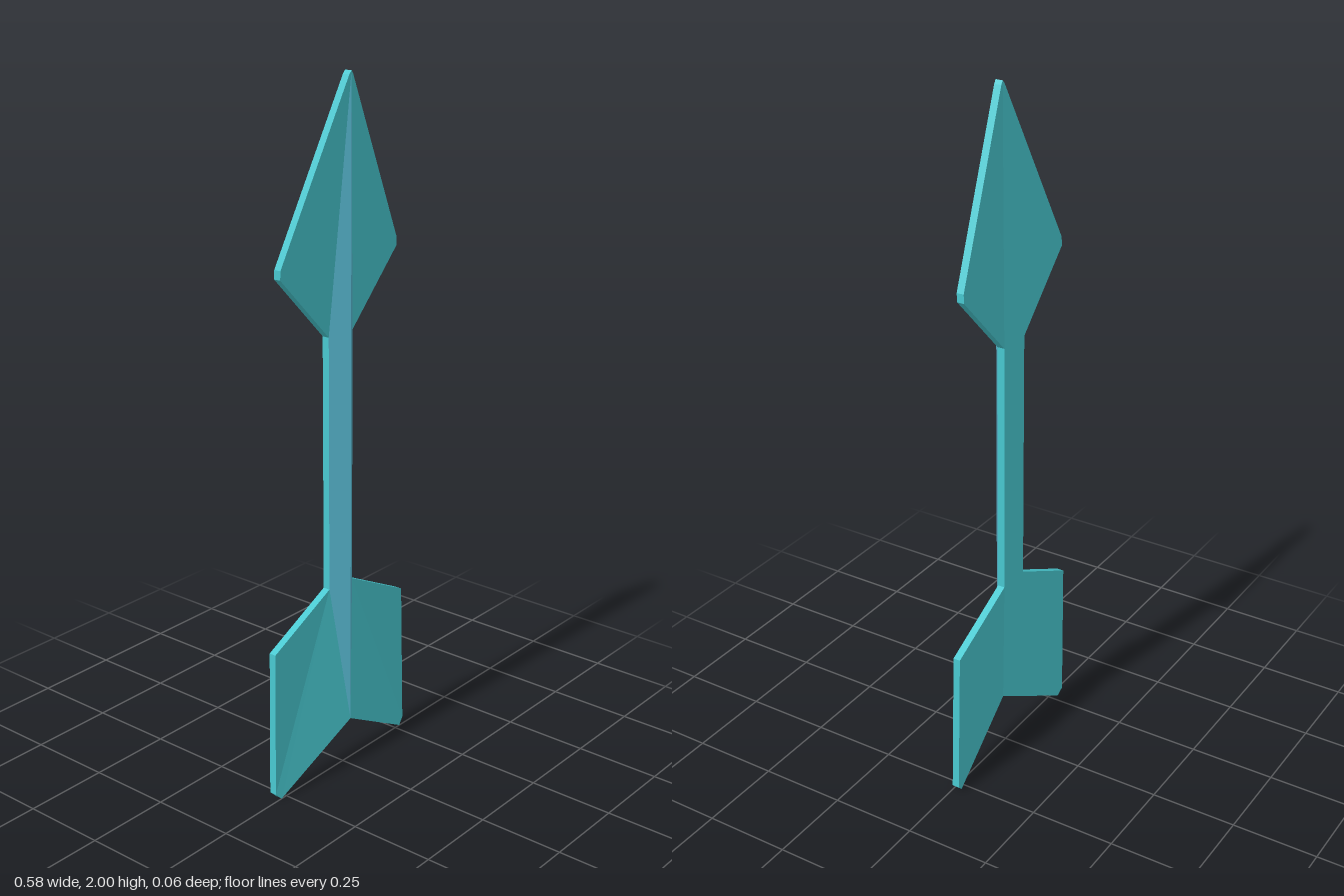
import * as THREE from 'three';

const THICKNESS = 0.021;

// Left half of the front face, clockwise from the tip: [x, y, z]
const tip = [0, 2, 0.029];
const neck = [0.05, 1.3, -0.007];
const waist = [0.05, 0.565, -0.007];
const notch = [0, 0.15, 0.029];
const headEdge = [[0.008, 1.99, 0.028], [0.24, 1.52, -0.007], [0.24, 1.495, -0.008]];
const tailEdge = [[0.28, 0.45, -0.007], [0.29, 0.02, -0.004], [0.27, 0, 0]];

const outline = [tip, ...headEdge, neck, waist, ...tailEdge, notch];
const headFace = [neck, tip, ...headEdge];
const shaftFace = [tip, neck, waist, notch];
const tailFace = [waist, ...tailEdge, notch];

const toBack = ([x, y, z]) => [x, y, z - THICKNESS];

// Fans a polygon into triangles; side mirrors it in x, flip reverses the winding
function addPolygon(out, points, side, flip) {
  const p = points.map(([x, y, z]) => [x * side, y, z]);
  const reverse = flip !== (side < 0);
  for (let i = 1; i < p.length - 1; i++) {
    out.push(...p[0], ...(reverse ? [...p[i + 1], ...p[i]] : [...p[i], ...p[i + 1]]));
  }
}

function makeMesh(name, positions, material) {
  const geometry = new THREE.BufferGeometry();
  geometry.setAttribute('position', new THREE.Float32BufferAttribute(positions, 3));
  geometry.computeVertexNormals();
  const mesh = new THREE.Mesh(geometry, material);
  mesh.name = name;
  return mesh;
}

// Shades a whole surface with its single area-weighted normal
function shadeAsOneFace(geometry) {
  const p = geometry.attributes.position, n = geometry.attributes.normal;
  const sum = new THREE.Vector3();
  const [a, b, c] = [0, 1, 2].map(() => new THREE.Vector3());
  for (let i = 0; i < p.count; i += 3) {
    a.fromBufferAttribute(p, i);
    b.fromBufferAttribute(p, i + 1).sub(a);
    c.fromBufferAttribute(p, i + 2).sub(a);
    sum.add(b.cross(c));
  }
  sum.normalize();
  for (let i = 0; i < n.count; i++) n.setXYZ(i, sum.x, sum.y, sum.z);
}

export function createModel() {
  const group = new THREE.Group();
  group.name = 'arrow';
  const teal = new THREE.MeshStandardMaterial({ color: 0x48c8d0 });
  const blue = new THREE.MeshStandardMaterial({ color: 0x56b4cc });

  for (const side of [1, -1]) {
    const label = side > 0 ? 'left' : 'right';

    // Arrowhead and tail fin, front
    const head = [], tail = [], shaft = [], back = [], rim = [];
    addPolygon(head, headFace, side, true);
    addPolygon(tail, tailFace, side, true);

    // Ridged shaft running from tip to tail notch
    addPolygon(shaft, shaftFace, side, true);

    // Grooved back, following the front at constant thickness
    for (const face of [headFace, shaftFace, tailFace]) addPolygon(back, face.map(toBack), side, false);

    // Rim around the outline
    for (let i = 0; i < outline.length - 1; i++) {
      const p = outline[i], q = outline[i + 1];
      addPolygon(rim, [p, q, toBack(q), toBack(p)], side, false);
    }

    const backMesh = makeMesh(label + 'Back', back, teal);
    shadeAsOneFace(backMesh.geometry);
    group.add(
      makeMesh(label + 'Arrowhead', head, teal),
      makeMesh(label + 'TailFin', tail, teal),
      makeMesh(label + 'ShaftRidge', shaft, blue),
      backMesh,
      makeMesh(label + 'Rim', rim, teal)
    );
  }
  return group;
}
